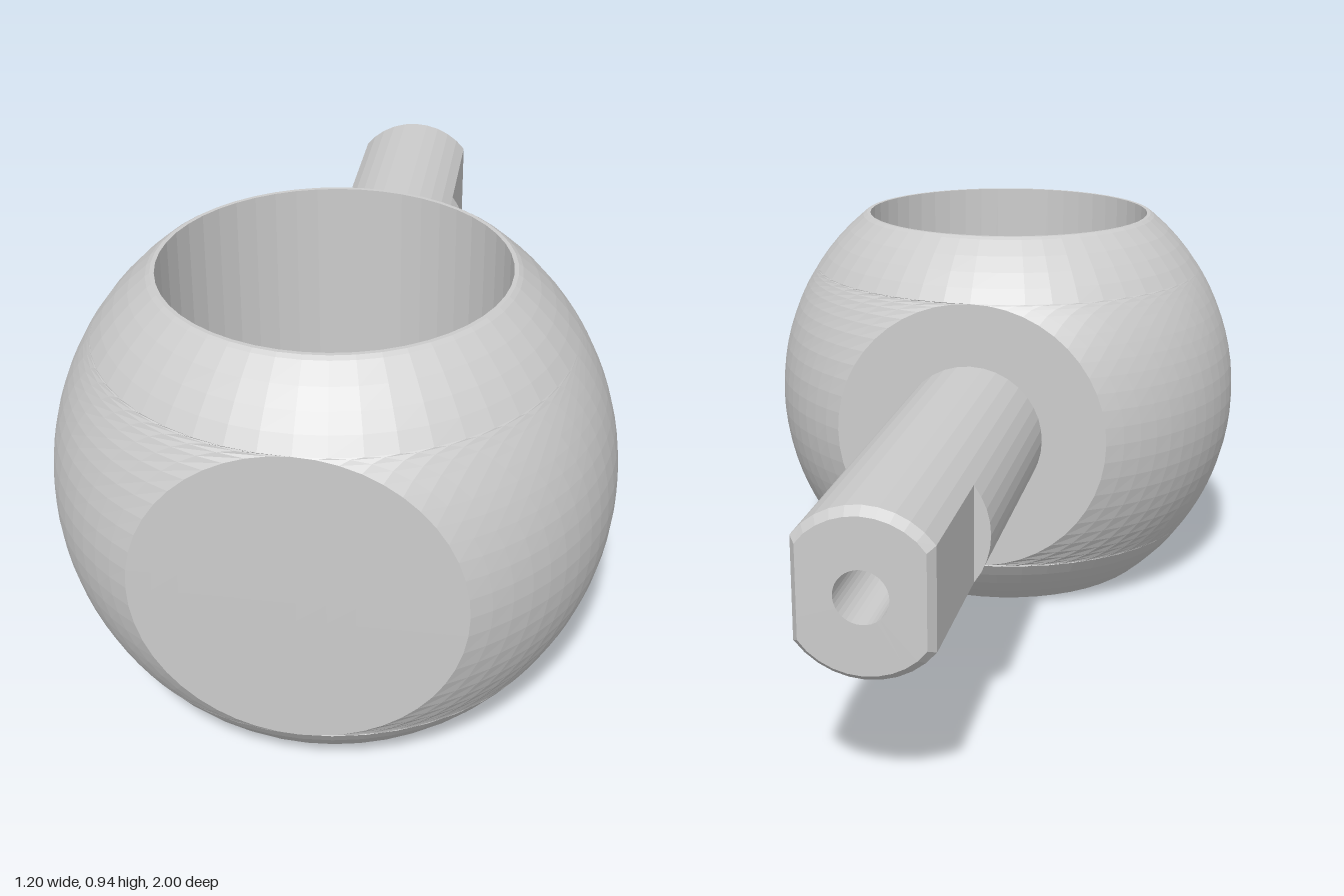
import * as THREE from 'three';

const CENTRE_Y = 0.47;
const material = new THREE.MeshStandardMaterial({ color: 0xcccccc, flatShading: true });

// Closed outline of radius r, trimmed flat at u = +cut and u = -cut.
// The flats span the angle -a..a; corners of each outline match those of the next.
function outline(r, a, cut, arcSegments, flatSegments) {
  const angles = [];
  for (const start of [0, Math.PI]) {
    for (let i = 0; i < flatSegments; i++) angles.push(start - a + (2 * a * i) / flatSegments);
    for (let i = 0; i < arcSegments; i++) angles.push(start + a + ((Math.PI - 2 * a) * i) / arcSegments);
  }
  return angles.map((t) => [THREE.MathUtils.clamp(r * Math.cos(t), -cut, cut), r * Math.sin(t)]);
}

// Skins a series of equally divided closed loops of Vector3, skipping collapsed triangles.
function loft(loops) {
  const points = [];
  const addTriangle = (a, b, c) => {
    const area = b.clone().sub(a).cross(c.clone().sub(a)).length();
    if (area > 1e-9) points.push(a, b, c);
  };
  for (let i = 0; i + 1 < loops.length; i++) {
    const lower = loops[i], upper = loops[i + 1], n = lower.length;
    for (let j = 0; j < n; j++) {
      const k = (j + 1) % n;
      addTriangle(lower[j], lower[k], upper[k]);
      addTriangle(lower[j], upper[k], upper[j]);
    }
  }
  const geometry = new THREE.BufferGeometry().setFromPoints(points);
  geometry.computeVertexNormals();
  return geometry;
}

function part(name, geometry) {
  const mesh = new THREE.Mesh(geometry, material);
  mesh.name = name;
  return mesh;
}

// Ball with a vertical through bore and flat discs at the front and back
function createBall() {
  const radius = 0.6, flat = 0.5, bore = 0.362, half = 0.47;
  const discRadius = Math.sqrt(radius ** 2 - flat ** 2);
  const heights = [];
  for (let i = 0; i <= 4; i++) heights.push(THREE.MathUtils.lerp(-half + 0.006, -discRadius, i / 4));
  for (let i = 1; i < 24; i++) heights.push(-discRadius * Math.cos((Math.PI * i) / 24));
  for (let i = 0; i <= 4; i++) heights.push(THREE.MathUtils.lerp(discRadius, half - 0.006, i / 4));

  const rows = heights.map((y) => [Math.sqrt(radius ** 2 - y * y), y]);
  rows.unshift([bore, half], [bore, -half], [0.371, -half]);
  rows.push([0.371, half], [bore, half]);
  rows.shift(); // the bore wall is closed by the last row below
  rows.push([bore, -half]);

  const loops = rows.map(([r, y]) =>
    outline(r, Math.acos(Math.min(1, flat / r)), flat, 24, 12)
      .map(([z, x]) => new THREE.Vector3(x, y, z)));
  const ball = part('ball', loft(loops));
  ball.position.set(0, CENTRE_Y, 0.5);
  return ball;
}

// Round shaft with two side flats, a chamfered tip and a blind centre hole
function createShaft() {
  const r = 0.176, flat = 0.14, a = Math.acos(flat / r);
  const rows = [
    // radius, distance of the flats, z
    [0, 1, -0.7],
    [0.055, 1, -0.73],
    [0.055, 1, -1],
    [0.16, 0.126, -1],
    [r, flat, -0.98],
    [r, flat, -0.64],
    [r, 1, -0.64],
    [r, 1, 0.01],
  ];
  const loops = rows.map(([radius, cut, z]) =>
    outline(radius, a, cut, 10, 8).map(([x, y]) => new THREE.Vector3(x, y, z)));
  const shaft = part('shaft', loft(loops));
  shaft.position.y = CENTRE_Y + 0.003;
  return shaft;
}

export function createModel() {
  const model = new THREE.Group();
  model.name = 'ballEndRod';
  model.add(createBall(), createShaft());
  return model;
}
